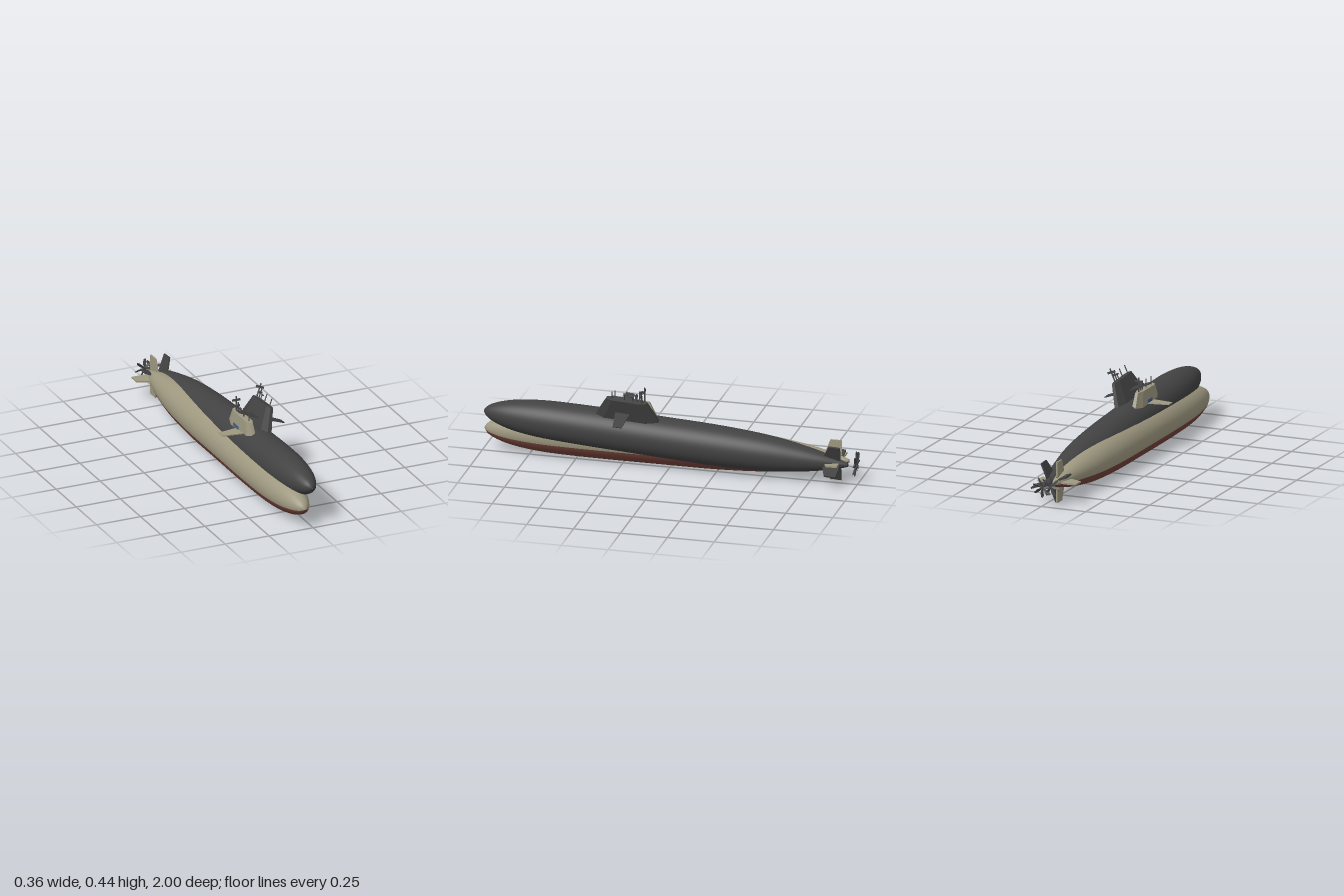
import * as THREE from 'three';

const mat = (name, color) => {
  const m = new THREE.MeshStandardMaterial({ color });
  m.name = name;
  return m;
};

// Flat plate in the x-z plane from [x, z] corners, centred on y = 0
function plate(points, thickness) {
  const shape = new THREE.Shape(points.map(([x, z]) => new THREE.Vector2(x, -z)));
  return new THREE.ExtrudeGeometry(shape, { depth: thickness, bevelEnabled: false })
    .translate(0, 0, -thickness / 2)
    .rotateX(-Math.PI / 2);
}

// Hull radius along the length, stern to bow: [radius, z]
const PROFILE = [
  [0.009, -0.945], [0.018, -0.92], [0.032, -0.87], [0.05, -0.8], [0.069, -0.7],
  [0.09, -0.55], [0.101, -0.4], [0.107, -0.2], [0.107, 0.05], [0.107, 0.3],
  [0.105, 0.5], [0.1, 0.66], [0.09, 0.77], [0.077, 0.85], [0.063, 0.905],
  [0.048, 0.945], [0.034, 0.972], [0.018, 0.99], [0.001, 1.0],
];

function hullSector(start, length) {
  const curve = new THREE.SplineCurve(PROFILE.map(([r, z]) => new THREE.Vector2(r, z)));
  const pts = [new THREE.Vector2(0, -0.945), ...curve.getPoints(72)];
  return new THREE.LatheGeometry(pts, Math.max(8, Math.round(length / 6)),
    THREE.MathUtils.degToRad(start), THREE.MathUtils.degToRad(length)).rotateX(Math.PI / 2);
}

// Tapered tower: an eight-sided plan that shrinks with height
function sailGeometry() {
  const plan = [[0.4, -1], [1, -0.72], [1, 0.6], [0.4, 1], [-0.4, 1], [-1, 0.6], [-1, -0.72], [-0.4, -1]];
  const shape = new THREE.Shape(plan.map(([x, y]) => new THREE.Vector2(x, y)));
  const geo = new THREE.ExtrudeGeometry(shape, { depth: 1, bevelEnabled: false });
  const pos = geo.attributes.position;
  const lerp = THREE.MathUtils.lerp;
  for (let i = 0; i < pos.count; i++) {
    const t = pos.getZ(i);
    const front = lerp(0.405, 0.335, t), back = lerp(0.05, 0.12, t);
    pos.setXYZ(i,
      pos.getX(i) * lerp(0.031, 0.019, t),
      lerp(0.085, 0.222, t),
      (front + back) / 2 - pos.getY(i) * (front - back) / 2);
  }
  geo.computeVertexNormals();
  return geo;
}

function createSubmarine(name, upper, lower, metal, screwMat) {
  const sub = new THREE.Group();
  sub.name = name;
  const add = (part, geo, material, parent = sub) => {
    const mesh = new THREE.Mesh(geo, material);
    mesh.name = part;
    parent.add(mesh);
    return mesh;
  };

  // Hull, split by the waterline paint
  add('lowerHull', hullSector(-72, 144), lower);
  add('upperHull', hullSector(72, 216), upper);

  // Sail with a pair of diving planes
  add('sail', sailGeometry(), upper);
  const planePts = [[0.01, 0.205], [0.135, 0.225], [0.135, 0.27], [0.01, 0.288]];
  for (const s of [0, 1]) {
    const pts = s ? planePts.map(([x, z]) => [-x, z]).reverse() : planePts;
    add('sailPlane', plate(pts, 0.005), upper).position.y = 0.147;
  }

  // Four tail fins in a cross
  const finPts = [[0.01, -0.895], [0.03, -0.906], [0.109, -0.906], [0.109, -0.845], [0.045, -0.82], [0.01, -0.8]];
  for (let i = 0; i < 4; i++) {
    add('tailFin', plate(finPts, 0.009), upper).rotation.z = i * Math.PI / 2;
  }

  // Masts: [z, top, radius, crossbar width]
  const masts = new THREE.Group();
  masts.name = 'masts';
  sub.add(masts);
  for (const [z, top, r, bar] of [
    [0.305, 0.266, 0.003, 0], [0.24, 0.268, 0.003, 0], [0.195, 0.25, 0.003, 0],
    [0.172, 0.275, 0.0035, 0.02], [0.147, 0.297, 0.004, 0.045],
  ]) {
    add('mast', new THREE.CylinderGeometry(r, r, top - 0.21, 8), metal, masts)
      .position.set(0, (top + 0.21) / 2, z);
    if (bar) {
      add('mastCrossbar', new THREE.BoxGeometry(bar, 0.011, 0.006), metal, masts)
        .position.set(0, top - 0.02, z);
    }
  }
  add('periscopeHead', new THREE.BoxGeometry(0.007, 0.007, 0.018), metal, masts)
    .position.set(0, 0.25, 0.2);

  // Seven-bladed propeller
  const screw = new THREE.Group();
  screw.name = 'propeller';
  screw.position.z = -0.986;
  sub.add(screw);
  add('propellerHub', new THREE.CylinderGeometry(0.006, 0.009, 0.02, 12).rotateX(-Math.PI / 2), screwMat, screw);
  const bladePts = [[0.004, -0.004], [0.03, -0.008], [0.05, -0.005], [0.057, 0.004], [0.045, 0.009], [0.02, 0.007], [0.004, 0.004]];
  for (let i = 0; i < 7; i++) {
    const arm = new THREE.Group();
    arm.rotation.z = i * Math.PI * 2 / 7 + Math.PI / 2;
    screw.add(arm);
    add('propellerBlade', plate(bladePts.slice().reverse(), 0.003), screwMat, arm).rotation.x = 0.9;
  }
  return sub;
}

export function createModel() {
  const beige = mat('beige hull paint', 0x9e9880);
  const red = mat('red bottom paint', 0x74423a);
  const dark = mat('dark grey hull paint', 0x424242);
  const metal = mat('mast grey', 0x4a4b4d);
  const screwMat = mat('propeller grey', 0x454647);
  const blue = mat('blue panel', 0x41608f);

  const model = new THREE.Group();
  model.name = 'twoSubmarines';

  // Level two-tone boat
  const first = createSubmarine('beigeSubmarine', beige, red, metal, screwMat);
  first.position.set(-0.045, 0.108, 0);
  const panel = new THREE.Mesh(new THREE.BoxGeometry(0.003, 0.018, 0.06), blue);
  panel.name = 'sailPanel';
  panel.position.set(-0.033, 0.163, 0.215);
  first.add(panel);

  // Dark boat, rolled to its left with its bow raised
  const second = createSubmarine('darkSubmarine', dark, dark, metal, screwMat);
  second.position.set(-0.002, 0.157, -0.006);
  second.rotation.set(-0.06, 0, -0.375);

  model.add(first, second);
  return model;
}
